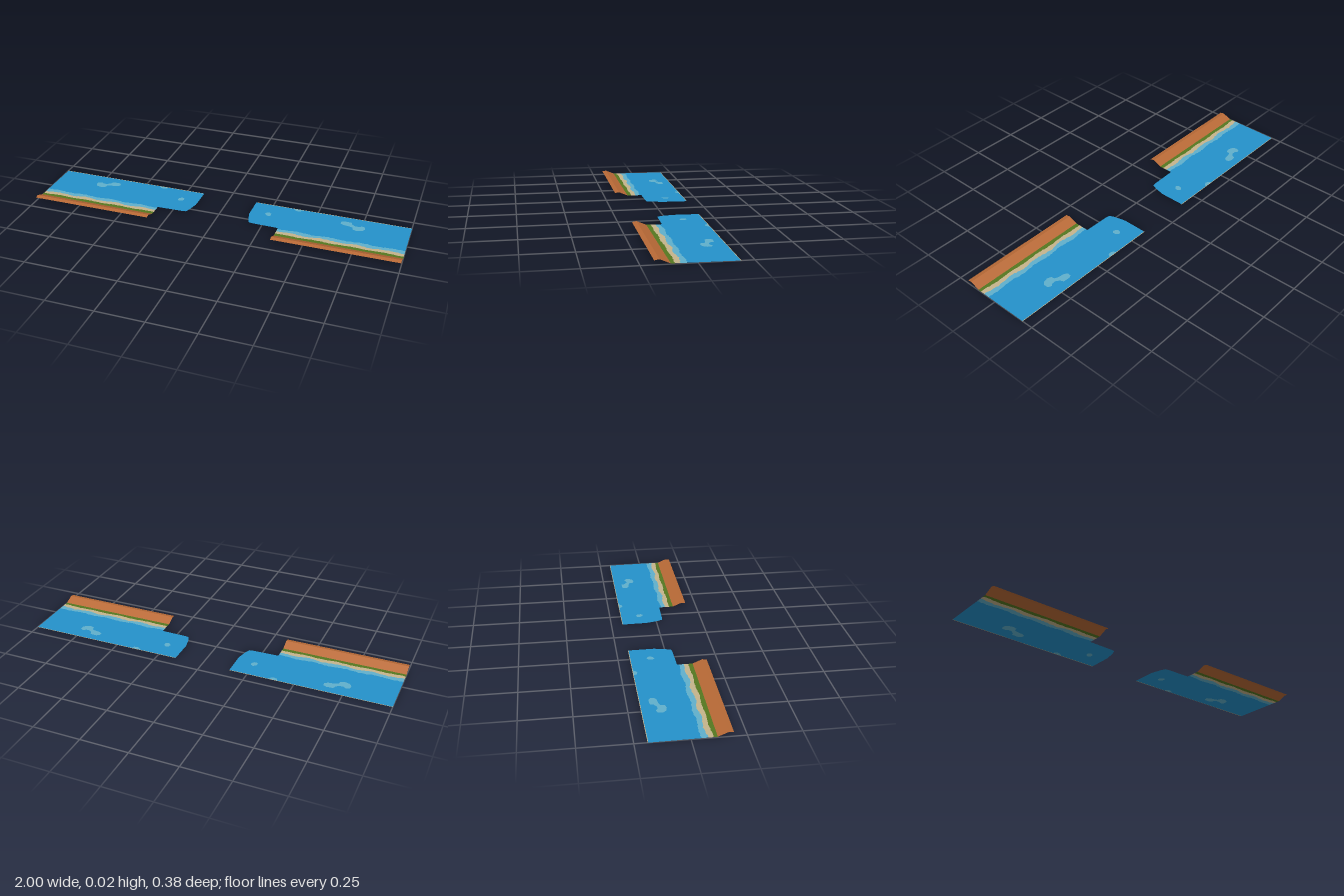
import * as THREE from 'three';

const mat = (name, color) => {
  const m = new THREE.MeshStandardMaterial({ color, side: THREE.DoubleSide });
  m.name = name;
  return m;
};

// Cross-section of the ground from back to front, as [z, y]
const PROFILE = [[-0.19, 0], [0.118, 0.003], [0.167, 0.024], [0.19, 0.02]];
const heightAt = (z) => {
  for (let i = 1; i < PROFILE.length; i++) {
    const [z0, y0] = PROFILE[i - 1], [z1, y1] = PROFILE[i];
    if (z <= z1 + 1e-6) return y0 + (y1 - y0) * (z - z0) / (z1 - z0);
  }
  return PROFILE[PROFILE.length - 1][1];
};

const INNER = 0.338, OUTER = 1, COLS = 66;
const colX = (i) => INNER + (OUTER - INNER) * i / COLS;

// Ragged shoreline edges
const noise = (i, seed) => {
  const v = Math.sin(i * 12.9898 + seed * 78.233) * 43758.5453;
  return v - Math.floor(v) - 0.5;
};
const ragged = (z, amp, seed) => (i) =>
  z + amp * (0.6 * Math.sin(i * 0.37 + seed) + 0.9 * noise(i, seed));
const straight = (z) => () => z;

// Strip of ground between two edges running along x
function strip(side, back, front) {
  const pos = [], index = [];
  for (let i = 0; i <= COLS; i++) {
    for (const z of [back(i), front(i)]) pos.push(side * colX(i), heightAt(z), z);
    if (i === COLS) continue;
    const a = i * 2;
    if (side > 0) index.push(a, a + 1, a + 2, a + 2, a + 1, a + 3);
    else index.push(a, a + 2, a + 1, a + 2, a + 3, a + 1);
  }
  const g = new THREE.BufferGeometry();
  g.setAttribute('position', new THREE.Float32BufferAttribute(pos, 3));
  g.setIndex(index);
  g.computeVertexNormals();
  return g;
}

// Flat outline of [x, z] points laid on the ground, with optional holes
function sheet(side, outline, holes = []) {
  const toPts = (list) => list.map(([x, z]) => new THREE.Vector2(side * x, -z));
  const shape = new THREE.Shape(toPts(outline));
  shape.holes = holes.map((h) => new THREE.Path(toPts(h)));
  const g = new THREE.ShapeGeometry(shape);
  g.rotateX(-Math.PI / 2);
  const p = g.attributes.position;
  for (let i = 0; i < p.count; i++) p.setY(i, heightAt(p.getZ(i)));
  g.computeVertexNormals();
  return g;
}

// Pale shoals in the water, as [x, z] outlines
const SHOALS = [
  [[0.638, -0.137], [0.655, -0.145], [0.69, -0.143], [0.697, -0.125], [0.715, -0.112],
    [0.735, -0.112], [0.75, -0.122], [0.768, -0.115], [0.77, -0.092], [0.757, -0.075],
    [0.73, -0.068], [0.708, -0.075], [0.704, -0.095], [0.685, -0.102], [0.652, -0.106], [0.636, -0.118]],
  [[0.236, -0.098], [0.25, -0.105], [0.264, -0.095], [0.267, -0.075],
    [0.256, -0.065], [0.243, -0.07], [0.233, -0.082]],
];
const BACK = -0.187;
const BACK_SHOAL = [[0.365, BACK], [0.372, -0.174], [0.39, -0.167], [0.406, -0.172], [0.412, BACK]];

export function createModel() {
  const model = new THREE.Group();
  model.name = 'coastline';
  const water = mat('deep water blue', 0x2492cb);
  const shallow = mat('shallow water blue', 0x60b0cc);
  const sand = mat('sand', 0xc6b48c);
  const grass = mat('grass green', 0x567820);
  const earth = mat('earth orange', 0xb96a36);

  // Edges shared by neighbouring bands
  const waterEdge = ragged(0.046, 0.006, 1);
  const foamEdge = ragged(0.072, 0.008, 2);
  const sandEdge = ragged(0.097, 0.004, 3);
  const grassEdge = straight(0.118);

  for (const side of [1, -1]) {
    const half = new THREE.Group();
    half.name = side > 0 ? 'leftShore' : 'rightShore';
    const add = (name, geometry, material) => {
      const mesh = new THREE.Mesh(geometry, material);
      mesh.name = name;
      half.add(mesh);
    };

    // Water with a chamfered inner end, cut out around the shoals
    const outline = [[OUTER, BACK], ...[...BACK_SHOAL].reverse(), [0.152, BACK],
      [0.152, -0.055], [0.166, 0.005], [0.178, 0.033], [0.2, 0.036], [INNER, 0.039]];
    for (let i = 0; i <= COLS; i++) outline.push([colX(i), waterEdge(i)]);
    add('water', sheet(side, outline, SHOALS), water);
    SHOALS.forEach((s) => add('shoal', sheet(side, s), shallow));
    add('backShoal', sheet(side, BACK_SHOAL), shallow);
    add('backSandLine', sheet(side, [[0.152, -0.19], [OUTER, -0.19], [OUTER, BACK], [0.152, BACK]]), sand);

    // Shore bands from the water up to the bank
    add('shallows', strip(side, waterEdge, foamEdge), shallow);
    add('beach', strip(side, foamEdge, sandEdge), sand);
    add('grassVerge', strip(side, sandEdge, grassEdge), grass);
    add('bank', strip(side, grassEdge, straight(0.167)), earth);
    add('bankLip', strip(side, straight(0.167), straight(0.19)), earth);
    model.add(half);
  }
  return model;
}
